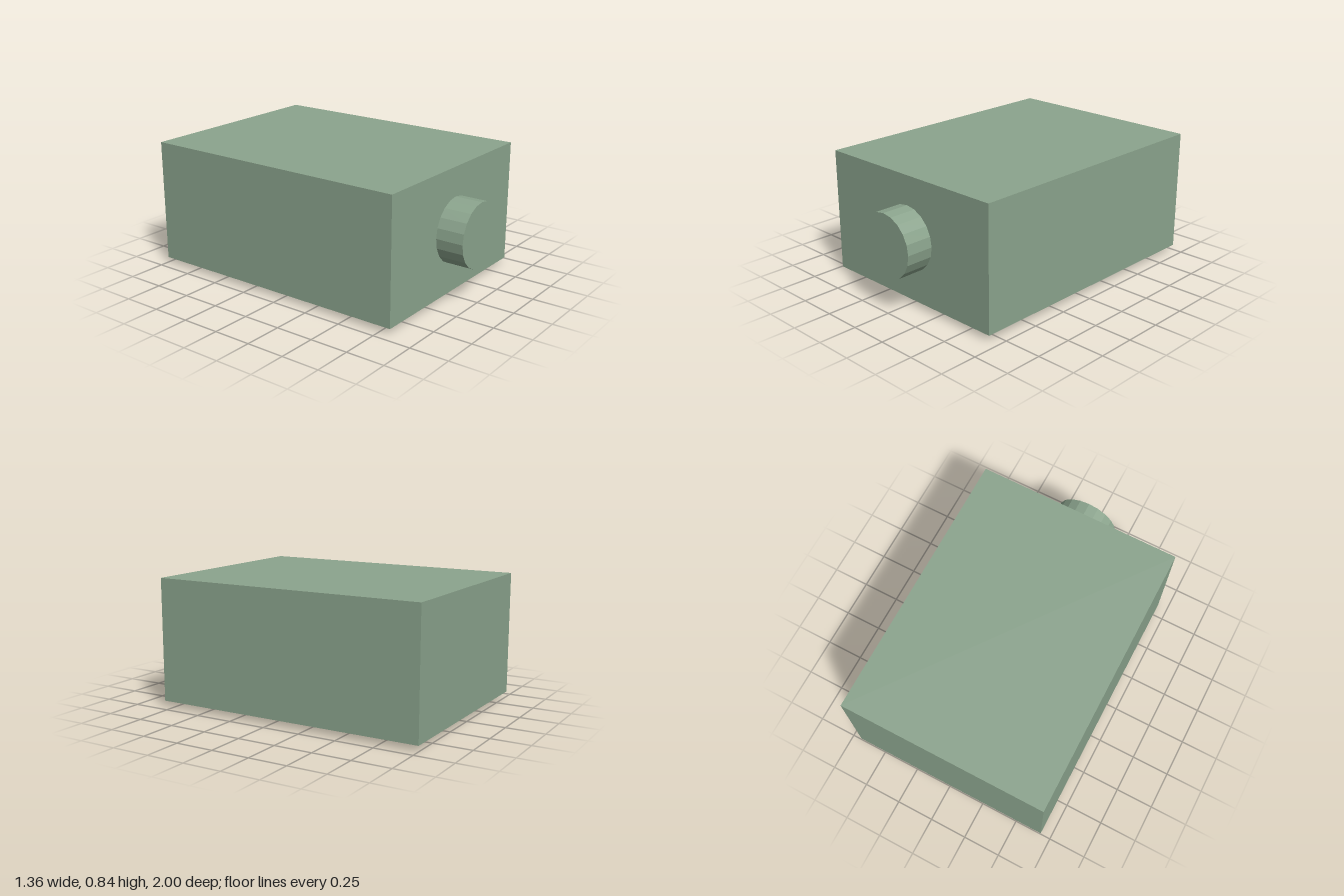
import * as THREE from 'three';

export function createModel() {
  const group = new THREE.Group();
  const green = new THREE.MeshStandardMaterial({ color: 0x8ba48d, flatShading: true });
  green.name = 'sage green';
  const beige = new THREE.MeshStandardMaterial({ color: 0xbdb5a6, flatShading: true });
  beige.name = 'warm beige';

  const add = (name, geometry, material, x, y, z) => {
    const mesh = new THREE.Mesh(geometry, material);
    mesh.name = name;
    mesh.position.set(x, y, z);
    group.add(mesh);
    return mesh;
  };

  // Main housing
  add('housing', new THREE.BoxGeometry(1.364, 0.805, 1.82), green, 0, 0.4375, -0.09);

  // Round stub on the front face, its rear cap sunk slightly into the housing
  const stub = new THREE.CylinderGeometry(0.21, 0.21, 0.2, 20);
  stub.rotateX(Math.PI / 2);
  add('frontStub', stub, green, 0, 0.44, 0.9);

  // Base plate under the housing
  add('basePlate', new THREE.BoxGeometry(0.982, 0.036, 0.88), beige, 0, 0.018, 0.02);

  return group;
}
